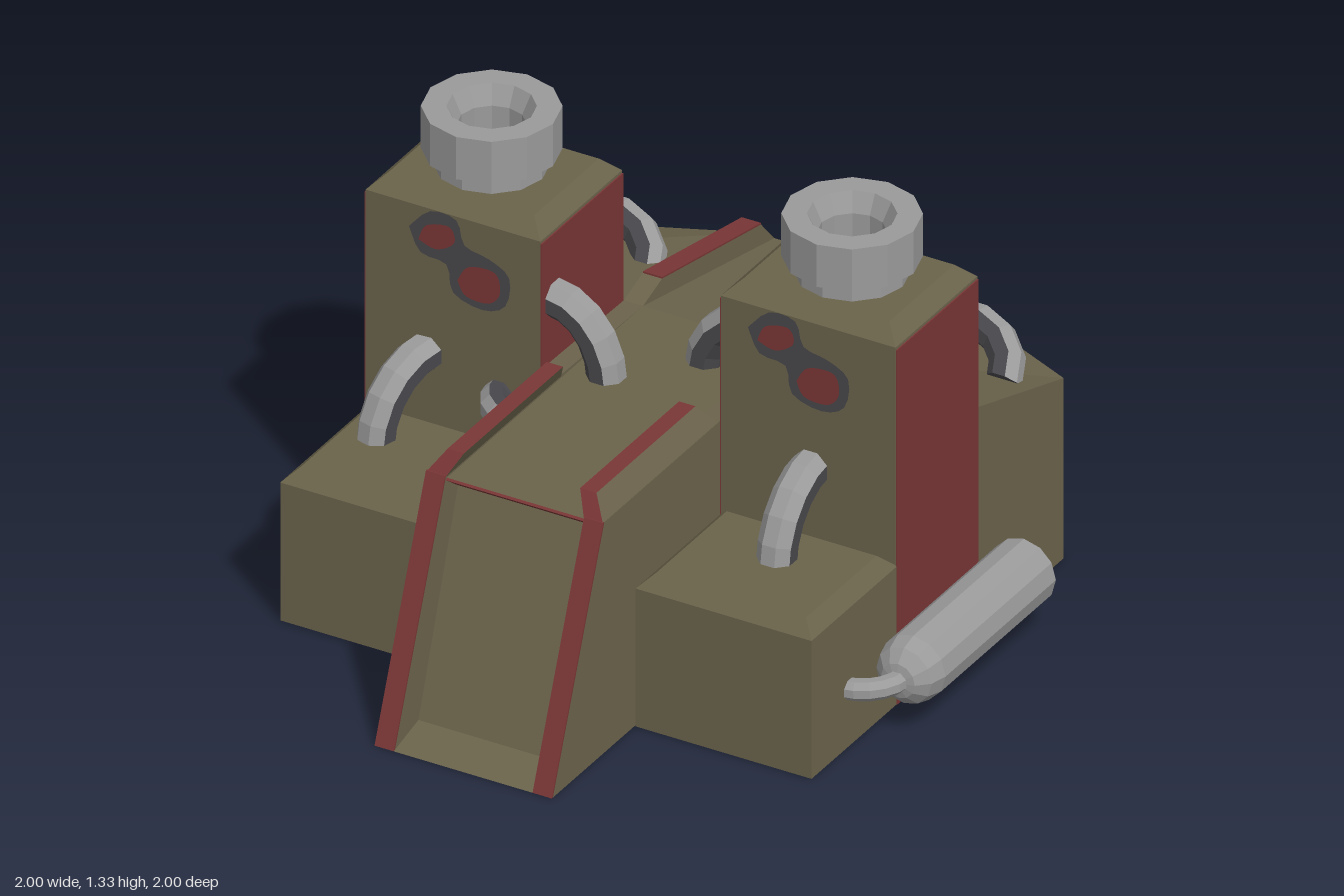
import * as THREE from 'three';

const mat = (name, color) => {
  const m = new THREE.MeshStandardMaterial({ color });
  m.name = name;
  return m;
};

export function createModel() {
  const olive = mat('olive', 0x6b634b);
  const red = mat('red', 0x7a3636);
  const steel = mat('light grey', 0x9a9a9b);
  const rubber = mat('dark grey', 0x48484c);

  const model = new THREE.Group();
  model.name = 'bunker';
  const body = new THREE.Group();
  body.name = 'body';
  body.position.x = -0.007;
  model.add(body);

  const V = (x, y, z) => new THREE.Vector3(x, y, z);
  const flat = (g) => {
    const f = g.index ? g.toNonIndexed() : g;
    f.computeVertexNormals();
    return f;
  };
  const add = (parent, name, geo, material) => {
    const m = new THREE.Mesh(flat(geo), material);
    m.name = name;
    parent.add(m);
    return m;
  };
  // unit box whose corners are moved by rule(x, y, z); inputs are -1, 0 or 1
  const moved = (rule, ySegs = 1) => {
    const g = new THREE.BoxGeometry(2, 2, 2, 1, ySegs, 1);
    const p = g.attributes.position;
    for (let i = 0; i < p.count; i++) p.setXYZ(i, ...rule(p.getX(i), p.getY(i), p.getZ(i)));
    return g;
  };
  // box standing on the ground with a chamfered top
  const chamferBox = (cx, w, h, z0, z1, c) => moved((x, y, z) => {
    const inset = y > 0.5 ? c : 0;
    const py = y < -0.5 ? 0 : y > 0.5 ? h : h - c;
    return [cx + x * (w / 2 - inset), py, (z0 + z1) / 2 + z * ((z1 - z0) / 2 - inset)];
  }, 2);
  // side profile of [z, y] points, extruded from x0 to x1
  const profile = (pts, x0, x1) => {
    const shape = new THREE.Shape(pts.map(([z, y]) => new THREE.Vector2(z, y)));
    const g = new THREE.ExtrudeGeometry(shape, { depth: x1 - x0, bevelEnabled: false });
    return g.rotateY(-Math.PI / 2).translate(x1, 0, 0);
  };
  // profile between two distances from the centre line, on side s
  const sideProfile = (pts, s, a, b) => profile(pts, Math.min(s * a, s * b), Math.max(s * a, s * b));

  // elliptical hose o + u cos t + v sin t, light on the outside of the bend
  const hose = (parent, name, o, u, v, r, tMax, segs, materials) => {
    const n = u.clone().cross(v).normalize();
    const rings = [];
    for (let i = 0; i <= segs; i++) {
      const t = (i / segs) * tMax;
      const c = o.clone().addScaledVector(u, Math.cos(t)).addScaledVector(v, Math.sin(t));
      const tan = u.clone().multiplyScalar(-Math.sin(t)).addScaledVector(v, Math.cos(t)).normalize();
      const out = tan.clone().cross(n);
      rings.push(Array.from({ length: 9 }, (_, j) => {
        const a = (j - 1.5) * Math.PI / 4;
        return c.clone().addScaledVector(out, r * Math.cos(a)).addScaledVector(n, r * Math.sin(a));
      }));
    }
    const pts = [];
    for (let j = 0; j < 8; j++) {
      for (let i = 0; i < segs; i++) {
        const a = rings[i][j], b = rings[i + 1][j], c = rings[i + 1][j + 1], d = rings[i][j + 1];
        pts.push(a, b, c, a, c, d);
      }
    }
    for (const [ring, dir] of [[rings[0], 1], [rings[segs], -1]]) {
      for (let j = 1; j < 7; j++) {
        pts.push(ring[0], ring[dir > 0 ? j : j + 1], ring[dir > 0 ? j + 1 : j]);
      }
    }
    const g = new THREE.BufferGeometry().setFromPoints(pts);
    g.addGroup(0, 18 * segs, 0); // three outer strips
    g.addGroup(18 * segs, pts.length - 18 * segs, 1);
    add(parent, name, g, materials);
  };
  // quarter bend leaving a towards corner c and arriving at b
  const elbow = (parent, name, a, c, b, r, materials = [steel, rubber]) => {
    const o = a.clone().add(b).sub(c);
    hose(parent, name, o, a.clone().sub(o), b.clone().sub(o), r, Math.PI / 2, 5, materials);
  };

  // central causeway with recessed front ramp
  add(body, 'causeway', profile(
    [[-1, 0], [1, 0], [0.87, 0.03], [0.66, 0.655], [0.72, 0.7], [-0.31, 0.7], [-1, 0.555]], -0.213, 0.213), olive);
  add(body, 'rampLip', profile([[0.66, 0.655], [0.72, 0.7], [0.726, 0.695], [0.666, 0.65]], -0.213, 0.213), red);

  for (const s of [-1, 1]) {
    // causeway walls and rails
    add(body, 'causewayWall', sideProfile(
      [[-1, 0], [0.994, 0], [0.724, 0.71], [0.12, 0.71], [-0.31, 0.7], [-1, 0.555]], s, 0.213, 0.272), olive);
    add(body, 'rampTrim', sideProfile(
      [[0.994, 0], [1, 0], [0.73, 0.71], [0.724, 0.71]], s, 0.213, 0.272), red);
    add(body, 'frontRail', moved((x, y, z) => {
      const outer = x * s > 0, top = y > 0;
      const px = top ? (outer ? 0.228 : 0.178) : (outer ? 0.272 : 0.213);
      return [s * px, top ? 0.77 : 0.705, z > 0 ? (top ? 0.69 : 0.73) : (top ? 0.17 : 0.12)];
    }), [olive, olive, red, olive, red, olive]);
    add(body, 'rearRail', sideProfile(
      [[-1, 0.555], [-0.31, 0.7], [-0.41, 0.733], [-0.93, 0.633]], s, 0.213, 0.272), olive);
    add(body, 'rearRailTrim', sideProfile(
      [[-0.93, 0.633], [-0.41, 0.733], [-0.41, 0.738], [-0.93, 0.638]], s, 0.213, 0.272), red);

    // rear wing with sloping roof and angled back
    add(body, 'rearWing', moved((x, y, z) => {
      const outer = x * s > 0;
      return [s * (outer ? 0.815 : 0.27), y < 0 ? 0 : z > 0 ? 0.7 : 0.555,
        z > 0 ? -0.3 : outer ? -0.76 : -1];
    }), olive);

    // tower, side panels and front block
    add(body, 'tower', chamferBox(s * 0.545, 0.536, 1.145, -0.31, 0.12, 0.045), olive);
    for (const e of [-1, 1]) {
      add(body, 'towerSidePanel', new THREE.BoxGeometry(0.006, 1.092, 0.428)
        .translate(s * 0.545 + e * 0.269, 0.546, -0.095), red);
    }
    add(body, 'frontBlock', chamferBox(s * 0.545, 0.54, 0.465, 0.115, 0.565, 0.04), olive);

    // chimney with hollow top
    const chimney = [[0.155, 1.12], [0.155, 1.195], [0.188, 1.195], [0.188, 1.325],
      [0.12, 1.325], [0.093, 1.27], [0.093, 1.15], [0, 1.15]].map(([x, y]) => new THREE.Vector2(x, y));
    add(body, 'chimney', new THREE.LatheGeometry(chimney, 12).translate(s * 0.553, 0, -0.097), steel);

    // gas tank and its feed pipe
    const tank = [[0, -0.41], [0.08, -0.41], [0.098, -0.39], [0.098, 0.19], [0.085, 0.24],
      [0.052, 0.272], [0, 0.285]].map(([x, y]) => new THREE.Vector2(x, y));
    add(model, 'tank', new THREE.LatheGeometry(tank, 12).rotateX(Math.PI / 2)
      .translate(s * 0.902, 0.18, 0), steel);
    elbow(model, 'tankPipe', V(s * 0.905, 0.18, 0.26), V(s * 0.905, 0.18, 0.368), V(s * 0.79, 0.175, 0.368),
      0.031, [steel, steel]);

    // arched hose lying on the rear wing
    hose(body, 'rearHose', V(s * 0.55, 0.595, -0.61), V(0.17, 0, 0), V(0, 0.09, -0.105), 0.05,
      Math.PI, 7, [steel, rubber]);

    // painted emblem-free blotch on the tower front
    const blotch = (name, pts, z, material) => {
      const curve = new THREE.SplineCurve([...pts, pts[0]].map(([x, y]) => new THREE.Vector2(x, y)));
      add(model, name, new THREE.ShapeGeometry(new THREE.Shape(curve.getPoints(33)))
        .translate(s > 0 ? 1.04 : 0, 0, z), material);
    };
    blotch('paintBlotch', [[-0.685, 1.03], [-0.62, 1.095], [-0.54, 1.09], [-0.515, 1.02], [-0.44, 1.0],
      [-0.378, 0.96], [-0.39, 0.87], [-0.46, 0.838], [-0.55, 0.865], [-0.57, 0.945], [-0.65, 0.96]], 0.123, rubber);
    blotch('upperPaintSpot', [[-0.655, 1.0], [-0.63, 1.05], [-0.56, 1.065], [-0.545, 1.02], [-0.6, 0.985]],
      0.126, red);
    blotch('lowerPaintSpot', [[-0.535, 0.91], [-0.5, 0.96], [-0.42, 0.965], [-0.405, 0.905], [-0.44, 0.865],
      [-0.51, 0.868]], 0.126, red);
  }

  // hoses joining the blocks, causeway, tanks and towers
  elbow(model, 'leftBlockHose', V(0.545, 0.44, 0.3), V(0.545, 0.655, 0.3), V(0.545, 0.655, 0.1), 0.055);
  elbow(model, 'rightBlockHose', V(-0.69, 0.44, 0.29), V(-0.69, 0.655, 0.29), V(-0.635, 0.655, 0.1), 0.055);
  elbow(model, 'sideHose', V(-0.415, 0.59, 0.1), V(-0.415, 0.59, 0.235), V(-0.26, 0.59, 0.235), 0.045);
  elbow(model, 'leftTowerHose', V(0.06, 0.68, -0.155), V(0.06, 0.885, -0.155), V(0.28, 0.885, -0.155), 0.055);
  elbow(model, 'rightTowerHose', V(-0.12, 0.68, 0.05), V(-0.12, 0.895, 0.05), V(-0.29, 0.895, 0.05), 0.055);
  elbow(model, 'tankHose', V(-0.925, 0.25, -0.18), V(-0.925, 0.425, -0.18), V(-0.81, 0.425, -0.18), 0.04);

  return model;
}
